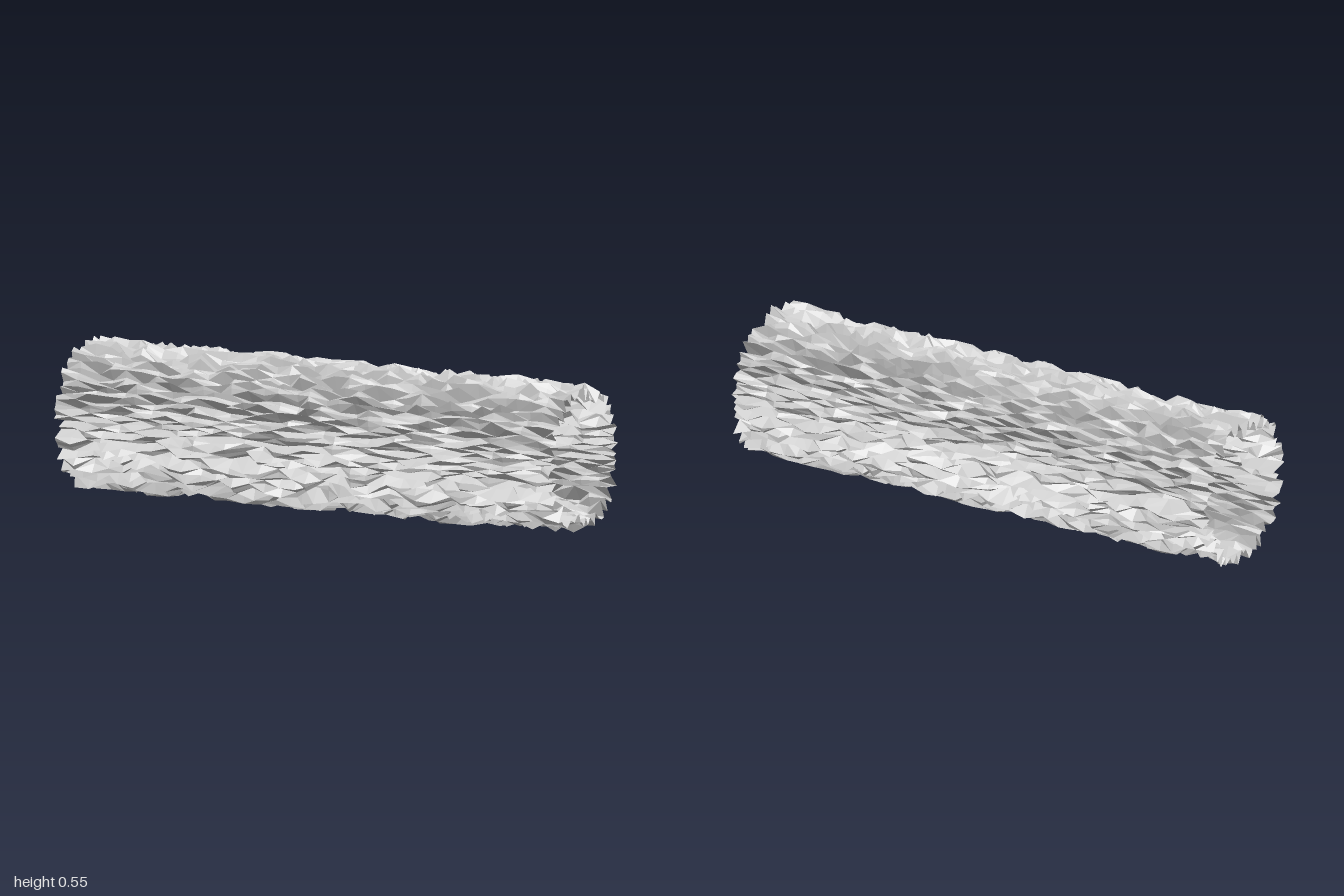
import * as THREE from 'three';

const LENGTH = 2, RINGS = 32, SIDES = 100;
const OUTER = 0.279, DEPTH = 0.09;

// small seeded generator with well mixed bits
function makeRandom(seed) {
  return () => {
    seed = (seed + 0x6d2b79f5) | 0;
    let t = Math.imul(seed ^ (seed >>> 15), 1 | seed);
    t = (t + Math.imul(t ^ (t >>> 7), 61 | t)) ^ t;
    return ((t ^ (t >>> 14)) >>> 0) / 4294967296;
  };
}

// slightly squared circle: radius at an angle
function outerRadius(a) {
  const n = 2.2;
  return OUTER / Math.pow(Math.abs(Math.cos(a)) ** n + Math.abs(Math.sin(a)) ** n, 1 / n);
}

// open tube of rough rock, with ridges that run along its length
function rockTube() {
  const random = makeRandom(7);
  const geometry = new THREE.PlaneGeometry(LENGTH, 1, RINGS, SIDES);
  const position = geometry.attributes.position;
  const row = RINGS + 1;
  for (let s = 0; s < SIDES; s++) {
    const ridge = random();
    for (let k = 0; k < row; k++) {
      const i = s * row + k;
      const a = (s + (random() - 0.5) * 0.5) / SIDES * Math.PI * 2;
      const inward = Math.pow(0.12 * ridge + 0.88 * random(), 1.3);
      const r = outerRadius(a) - DEPTH * inward;
      position.setXYZ(i, position.getX(i), OUTER + r * Math.cos(a), r * Math.sin(a));
    }
  }
  // faces wrap round to the first row; the diagonals alternate
  const index = [];
  for (let s = 0; s < SIDES; s++) {
    for (let k = 0; k < RINGS; k++) {
      const a = s * row + k, b = ((s + 1) % SIDES) * row + k;
      if ((s + k) % 2) index.push(a, b, a + 1, b, b + 1, a + 1);
      else index.push(a, b, b + 1, a, b + 1, a + 1);
    }
  }
  geometry.setIndex(index);
  const flat = geometry.toNonIndexed();
  flat.computeVertexNormals();
  return flat;
}

export function createModel() {
  const model = new THREE.Group();
  model.name = 'rockTunnel';
  const rock = new THREE.MeshStandardMaterial({
    color: 0xcccccc, flatShading: true, side: THREE.DoubleSide,
  });
  const wall = new THREE.Mesh(rockTube(), rock);
  wall.name = 'tunnelWall';
  model.add(wall);
  return model;
}
